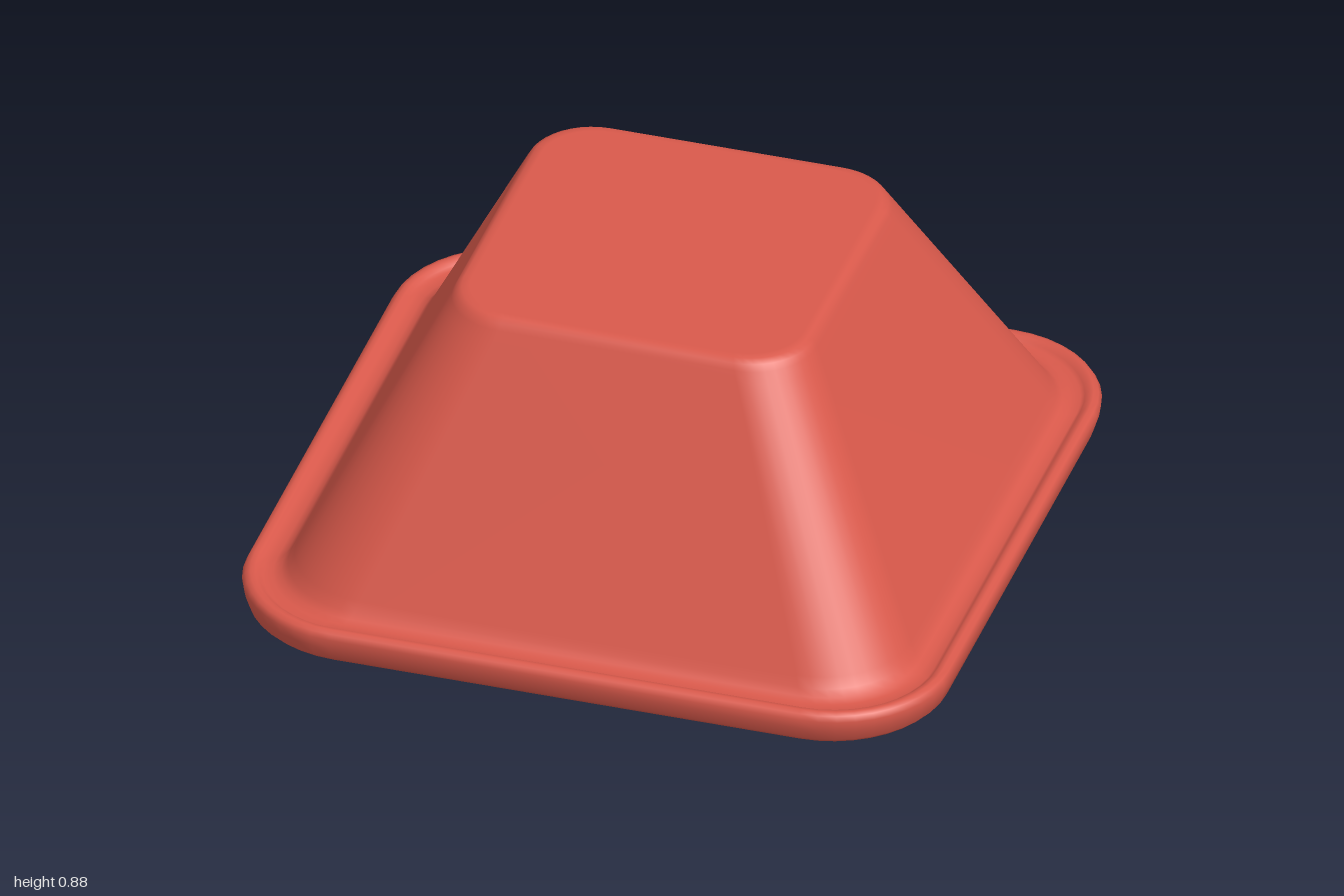
import * as THREE from 'three';

const CORNER_STEPS = 10;

// One rounded-square ring: half width h, corner radius r, height y
function ring(h, r, y) {
  const points = [];
  for (let corner = 0; corner < 4; corner++) {
    const mid = (corner + 0.5) * Math.PI / 2;
    const cx = Math.sign(Math.cos(mid)) * (h - r);
    const cz = Math.sign(Math.sin(mid)) * (h - r);
    for (let i = 0; i <= CORNER_STEPS; i++) {
      const a = (corner + i / CORNER_STEPS) * Math.PI / 2;
      points.push(cx + r * Math.cos(a), y, cz + r * Math.sin(a));
    }
  }
  return points;
}

// Skin a list of [halfWidth, cornerRadius, height] rings with smooth normals
function skin(profile) {
  const positions = profile.flatMap(([h, r, y]) => ring(h, r, y));
  const n = 4 * (CORNER_STEPS + 1);
  const index = [];
  for (let k = 0; k < profile.length - 1; k++) {
    for (let i = 0; i < n; i++) {
      const j = (i + 1) % n;
      const a = k * n + i, b = k * n + j;
      index.push(a, b, a + n, b, b + n, a + n);
    }
  }
  const geometry = new THREE.BufferGeometry();
  geometry.setAttribute('position', new THREE.Float32BufferAttribute(positions, 3));
  geometry.setIndex(index);
  geometry.computeVertexNormals();
  return geometry;
}

export function createModel() {
  const group = new THREE.Group();
  group.name = 'upturnedSquareBowl';
  const red = new THREE.MeshStandardMaterial({ color: 0xd9594b });
  red.name = 'terracottaRed';

  const profile = [
    // flat base of the bowl, facing up
    [0, 0, 0.88], [0.47, 0.15, 0.88], [0.49, 0.165, 0.878],
    [0.505, 0.175, 0.868], [0.515, 0.18, 0.85],
    // sloping outer wall and fillet
    [0.53, 0.183, 0.82], [0.87, 0.25, 0.14], [0.885, 0.255, 0.112], [0.9, 0.26, 0.095],
    // shallow groove and raised lip
    [0.92, 0.27, 0.088], [0.945, 0.285, 0.088], [0.955, 0.29, 0.095],
    [0.965, 0.3, 0.104], [0.978, 0.31, 0.106], [0.992, 0.325, 0.1], [1, 0.33, 0.085],
    // outer edge of the rim, curling under
    [0.996, 0.33, 0.055], [0.985, 0.32, 0.02], [0.972, 0.31, 0.006],
    [0.95, 0.295, 0], [0.9, 0.25, 0], [0.88, 0.24, 0.006], [0.867, 0.235, 0.025],
    // inner wall and inside of the base
    [0.85, 0.23, 0.06], [0.5, 0.17, 0.77], [0.48, 0.16, 0.8],
    [0.455, 0.145, 0.815], [0.42, 0.13, 0.82], [0, 0, 0.82],
  ];
  const bowl = new THREE.Mesh(skin(profile), red);
  bowl.name = 'bowl';
  group.add(bowl);
  return group;
}
